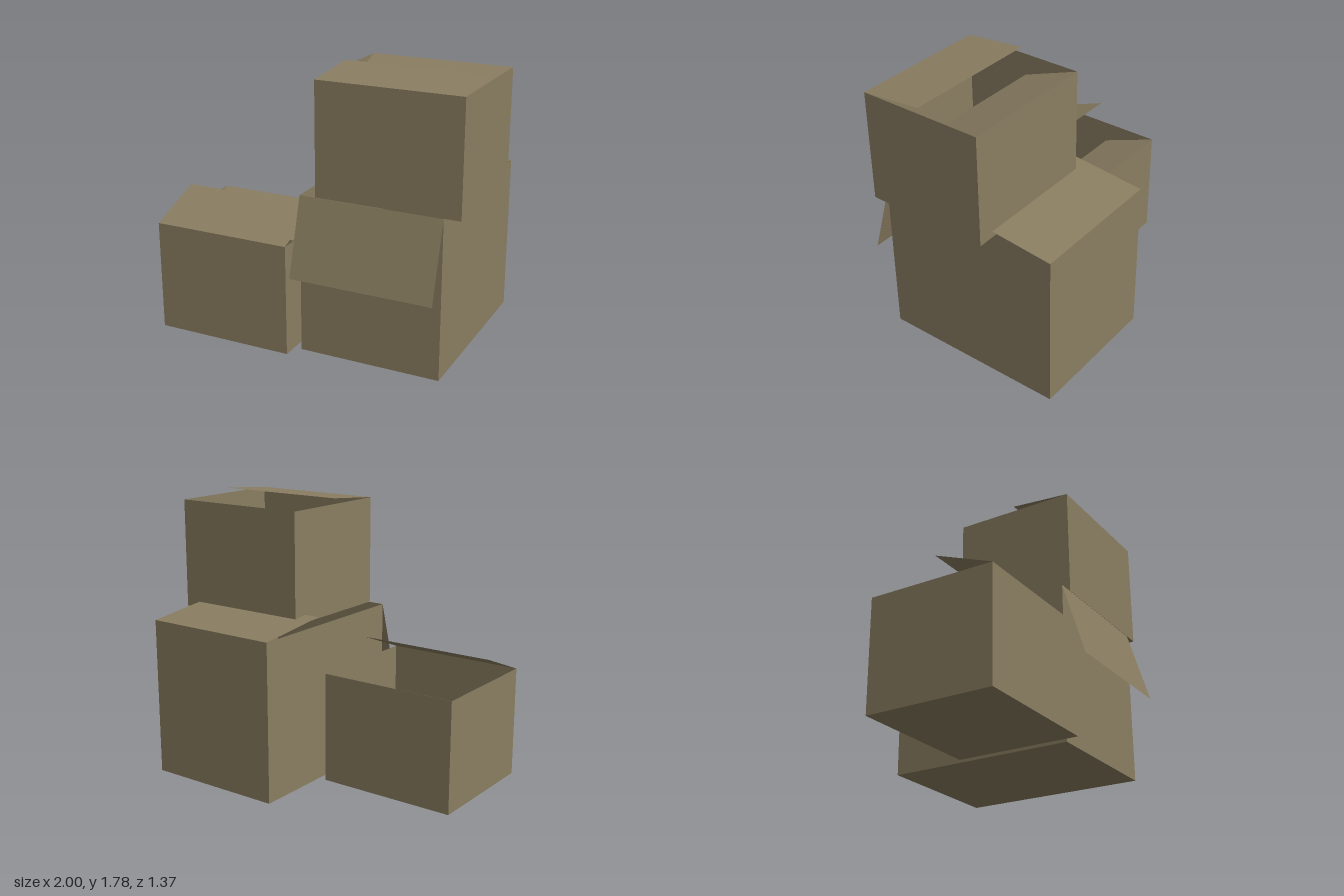
import * as THREE from 'three';

const cardboard = new THREE.MeshStandardMaterial({ color: 0x8a7d61, side: THREE.DoubleSide });
cardboard.name = 'cardboard';

// Thin walls and floor: a box without its top face
function openBox(w, h, d) {
  const geo = new THREE.BoxGeometry(w, h, d);
  const index = Array.from(geo.index.array);
  index.splice(12, 6);
  geo.setIndex(index);
  geo.clearGroups();
  return geo.translate(0, h / 2, 0);
}

// Flap hinged on a top edge, reaching dy up and dz along z
function makeFlap(name, w, y, z, dy, dz) {
  const length = Math.hypot(dy, dz);
  const geo = new THREE.PlaneGeometry(w, length).translate(0, length / 2, 0);
  const flap = new THREE.Mesh(geo, cardboard);
  flap.name = name;
  flap.position.set(0, y, z);
  flap.rotation.x = Math.atan2(dz, dy);
  return flap;
}

// Carton with a front and a back flap, each given as [dy, dz]
function makeCarton({ name, x, y, z, size: [w, h, d], front, back }) {
  const carton = new THREE.Group();
  carton.name = name;
  const body = new THREE.Mesh(openBox(w, h, d), cardboard);
  body.name = 'cartonBody';
  carton.add(
    body,
    makeFlap('frontFlap', w, h, d / 2, ...front),
    makeFlap('backFlap', w, h, -d / 2, ...back)
  );
  carton.position.set(x, y, z);
  return carton;
}

export function createModel() {
  const model = new THREE.Group();
  model.name = 'cardboardBoxes';
  const cartons = [
    { name: 'sideCarton', x: -0.54, y: 0, z: 0.232, size: [0.92, 0.72, 0.82],
      front: [0.147, -0.38], back: [-0.147, 0.385] },
    { name: 'largeCarton', x: 0.432, y: 0, z: -0.073, size: [0.922, 1.028, 1.23],
      front: [-0.49, 0.143], back: [0.053, 0.508] },
    { name: 'topCarton', x: 0.538, y: 1.03, z: 0.132, size: [0.922, 0.716, 0.82],
      front: [0.036, -0.408], back: [-0.142, 0.385] },
  ];
  for (const c of cartons) model.add(makeCarton(c));
  return model;
}
